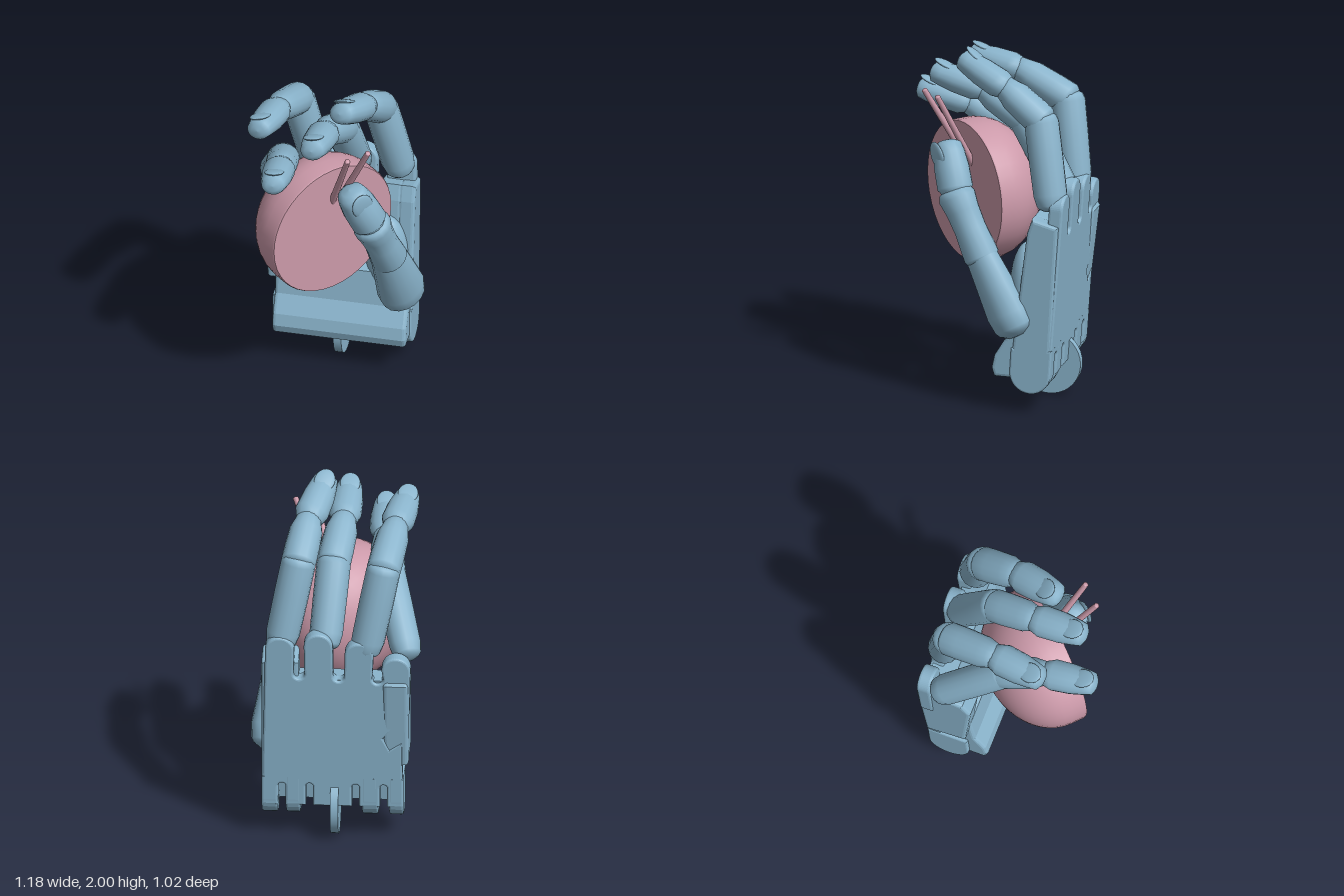
import * as THREE from 'three';

const V = (p) => new THREE.Vector3(...p);
const blue = new THREE.MeshStandardMaterial({ color: 0x8ab4cc, side: THREE.DoubleSide });
const pink = new THREE.MeshStandardMaterial({ color: 0xcc9aaa, side: THREE.DoubleSide });

function add(parent, name, geometry, material = blue) {
  const mesh = new THREE.Mesh(geometry, material);
  mesh.name = name;
  parent.add(mesh);
  return mesh;
}

// Orients a part so its y axis runs from a to b and its z axis leans to hint
function aim(mesh, a, b, hint) {
  const y = b.clone().sub(a).normalize();
  const x = y.clone().cross(hint).normalize();
  const z = x.clone().cross(y);
  mesh.quaternion.setFromRotationMatrix(new THREE.Matrix4().makeBasis(x, y, z));
  mesh.position.copy(a);
  return mesh;
}

// Round-ended segment; rings are [fraction of length, radius]
function segment(parent, name, a, b, rings, hint, squash = 1, material = blue) {
  const L = a.distanceTo(b);
  const r0 = rings[0][1], r1 = rings[rings.length - 1][1];
  const pts = [[0, -0.5 * r0], [0.5 * r0, -0.42 * r0], [0.85 * r0, -0.22 * r0]];
  rings.forEach(([f, r]) => pts.push([r, f * L]));
  pts.push([0.87 * r1, L + 0.25 * r1], [0.5 * r1, L + 0.45 * r1], [0, L + 0.52 * r1]);
  const g = new THREE.LatheGeometry(pts.map((p) => new THREE.Vector2(...p)), 16);
  g.scale(1, 1, squash);
  return aim(add(parent, name, g, material), a, b, hint);
}

// Nail set into the back of a tip
function nail(parent, a, b, r, hint, squash) {
  const g = new THREE.SphereGeometry(1, 14, 10);
  g.scale(r * 0.66, r * 0.85, r * 0.16);
  g.rotateX(0.16).translate(0, a.distanceTo(b) - r * 0.42, r * squash * 0.8);
  aim(add(parent, 'nail', g), a, b, hint);
}

// Three-jointed finger
function finger(name, joints, r) {
  const group = new THREE.Group();
  group.name = name;
  const [k, p, d, t] = joints.map(V);
  const back = V([0.5, 0.8, -0.6]);
  segment(group, 'proximalLink', k, p, [[0, r * 0.85], [0.12, r * 0.97], [0.6, r], [0.98, r]], V([0.73, 0, -0.68]));
  segment(group, 'middleLink', p, d, [[0, r], [0.3, r], [0.75, r * 0.95], [0.92, r * 0.8]], back, 0.95);
  segment(group, 'fingertip', d, t, [[0.06, r * 0.84], [0.18, r * 0.97], [0.6, r * 0.93], [0.9, r * 0.8]], back, 0.87);
  nail(group, d, t, r * 0.9, back, 0.87);
  return group;
}

// Side profile of (back, up) points swept across the hand from t0 to t1
function slab(parent, name, profile, t0, t1, bevel = 0.012) {
  const shape = new THREE.Shape(profile.map((p) => new THREE.Vector2(...p)));
  const g = new THREE.ExtrudeGeometry(shape, {
    depth: t1 - t0 - 2 * bevel, bevelSize: bevel, bevelThickness: bevel, bevelOffset: -bevel, bevelSegments: 3,
  });
  g.rotateY(Math.PI / 2).translate(t0 + bevel, 0, 0);
  return add(parent, name, g);
}

// Back of the hand: flat plate with knuckle tabs above and hinge slots below
function backPlate(parent) {
  const tabs = [[0.372, 1.19], [0.158, 1.215], [-0.068, 1.165], [-0.272, 1.075]];
  const s = new THREE.Shape();
  s.moveTo(-0.305, 0.2);
  for (const t of [-0.2, -0.045, 0.21, 0.363]) {
    s.lineTo(t - 0.02, 0.2);
    s.absarc(t, 0.32, 0.02, Math.PI, 0, true);
    s.lineTo(t + 0.02, 0.2);
  }
  s.lineTo(0.475, 0.2);
  tabs.forEach(([t, y], i) => {
    s.absarc(t, y, 0.08, 0, Math.PI, false);
    if (i < 3) {
      const gap = (t + tabs[i + 1][0]) / 2;
      s.absarc(gap, 1.04 - i * 0.01, 0.03, Math.PI * 2, Math.PI, true);
    }
  });
  [[-0.345, 0.8], [-0.2, 0.64], [-0.235, 0.57], [-0.305, 0.62]].forEach((p) => s.lineTo(...p));
  const g = new THREE.ExtrudeGeometry(s, {
    depth: 0.05, bevelSize: 0.012, bevelThickness: 0.015, bevelOffset: -0.012, bevelSegments: 3,
  });
  const mesh = add(parent, 'backPlate', g);
  mesh.rotation.x = -0.07;
  mesh.position.z = -0.293;
}

function buildPalm() {
  // Local x runs across the hand, local z towards the palm side
  const palm = new THREE.Group();
  palm.name = 'palm';
  palm.rotation.y = -0.82;
  backPlate(palm);
  slab(palm, 'palmBody', [[0.1, 0.22], [0.26, 0.22], [0.28, 0.36], [0.36, 1.0], [0.22, 1.0]], -0.29, 0.46);
  slab(palm, 'indexSideBlock', [[0.09, 0.24], [0.32, 0.24], [0.37, 1.1], [0.22, 1.14], [0.19, 1.05]], 0.38, 0.475, 0.02);
  slab(palm, 'indexInnerBlock', [[0.1, 0.4], [0.3, 0.4], [0.36, 1.1], [0.22, 1.14], [0.19, 1.05]], 0.27, 0.4, 0.02);
  slab(palm, 'outerSideBlock', [[0.1, 0.5], [0.33, 0.47], [0.39, 0.98], [0.35, 1.04], [0.12, 1.0], [0.07, 0.92]], -0.34, -0.2, 0.02);
  slab(palm, 'heelPad', [[0.17, 0.2], [0, 0.2], [-0.015, 0.25], [0.0, 0.32], [0.06, 0.42], [0.09, 0.62], [0.2, 0.66]], -0.29, 0.465, 0.02);

  // Mound under the thumb
  const mound = add(palm, 'thumbMound', new THREE.SphereGeometry(1, 24, 16));
  mound.scale.set(0.12, 0.28, 0.1);
  mound.position.set(0.33, 0.68, -0.16);

  // Wrist hinge: round-ended lugs and a centre disc
  const lug = [[0.335, 0.38], [0.1, 0.38]];
  for (let i = 0; i <= 14; i++) {
    const a = Math.PI * (1 + i / 14);
    lug.push([0.208 + 0.117 * Math.cos(a), 0.235 + 0.117 * Math.sin(a)]);
  }
  [[0.43, 0.09], [0.3, 0.08], [-0.125, 0.09], [-0.27, 0.08]].forEach(([t, w]) => slab(palm, 'wristLug', lug, t - w / 2, t + w / 2));
  const disc = new THREE.CylinderGeometry(0.182, 0.182, 0.045, 36);
  disc.rotateZ(Math.PI / 2).translate(0.07, 0.182, -0.213);
  add(palm, 'wristDisc', disc);
  return palm;
}

function buildThumb() {
  const thumb = new THREE.Group();
  thumb.name = 'thumb';
  const hint = V([-0.1, 0.15, 1]);
  const base = V([0.37, 0.495, 0.24]), mid = V([0.2, 0.87, 0.345]), joint = V([0.04, 1.19, 0.41]), tip = V([-0.08, 1.43, 0.39]);
  segment(thumb, 'thumbBase', base, mid, [[0, 0.13], [0.2, 0.14], [0.6, 0.122], [1, 0.105]], hint, 0.83);
  segment(thumb, 'thumbLink', mid, joint, [[0, 0.105], [0.45, 0.094], [0.75, 0.098], [0.98, 0.11]], hint, 0.95);
  segment(thumb, 'thumbTip', joint, tip, [[0.1, 0.09], [0.16, 0.104], [0.6, 0.102], [0.92, 0.09]], hint, 0.95);
  nail(thumb, joint, tip, 0.1, hint, 0.95);
  return thumb;
}

// Domed object with a flat front and two thin rods
function buildHeldDome() {
  const held = new THREE.Group();
  held.name = 'heldDome';
  const profile = [new THREE.Vector2(0.395, 0), new THREE.Vector2(0.4, 0.01)];
  for (let i = 0; i <= 12; i++) {
    const a = (i / 12) * Math.PI / 2;
    profile.push(new THREE.Vector2(0.4 * Math.cos(a), 0.09 + 0.32 * Math.sin(a)));
  }
  const dome = add(held, 'dome', new THREE.LatheGeometry(profile, 40), pink);
  dome.rotation.x = -Math.PI / 2;
  dome.position.set(-0.12, 1.145, 0.26);
  const face = add(held, 'flatFace', new THREE.CircleGeometry(0.395, 40), pink);
  face.position.copy(dome.position);
  for (const [x0, x1] of [[-0.11, -0.177], [-0.058, -0.04]]) {
    segment(held, 'rod', V([x0, 1.31, 0.24]), V([x1, 1.755, 0.485]), [[0, 0.02], [1, 0.016]], V([0, 0, 1]), 1, pink);
  }
  return held;
}

export function createModel() {
  const model = new THREE.Group();
  model.name = 'mechanicalHand';
  model.add(
    buildPalm(),
    buildThumb(),
    finger('indexFinger', [[0.475, 1.2, 0.06], [0.35, 1.655, 0.05], [0.165, 1.81, 0.165], [-0.07, 1.92, 0.28]], 0.097),
    finger('middleFinger', [[0.31, 1.2, -0.12], [0.12, 1.59, 0.01], [-0.09, 1.73, 0.15], [-0.3, 1.795, 0.325]], 0.095),
    finger('ringFinger', [[0.16, 1.17, -0.29], [0.045, 1.63, -0.31], [-0.2, 1.76, -0.15], [-0.43, 1.8, 0]], 0.095),
    finger('littleFinger', [[-0.04, 1.12, -0.41], [-0.2, 1.44, -0.1], [-0.35, 1.565, 0.09], [-0.53, 1.625, 0.275]], 0.092),
    buildHeldDome(),
  );
  return model;
}
